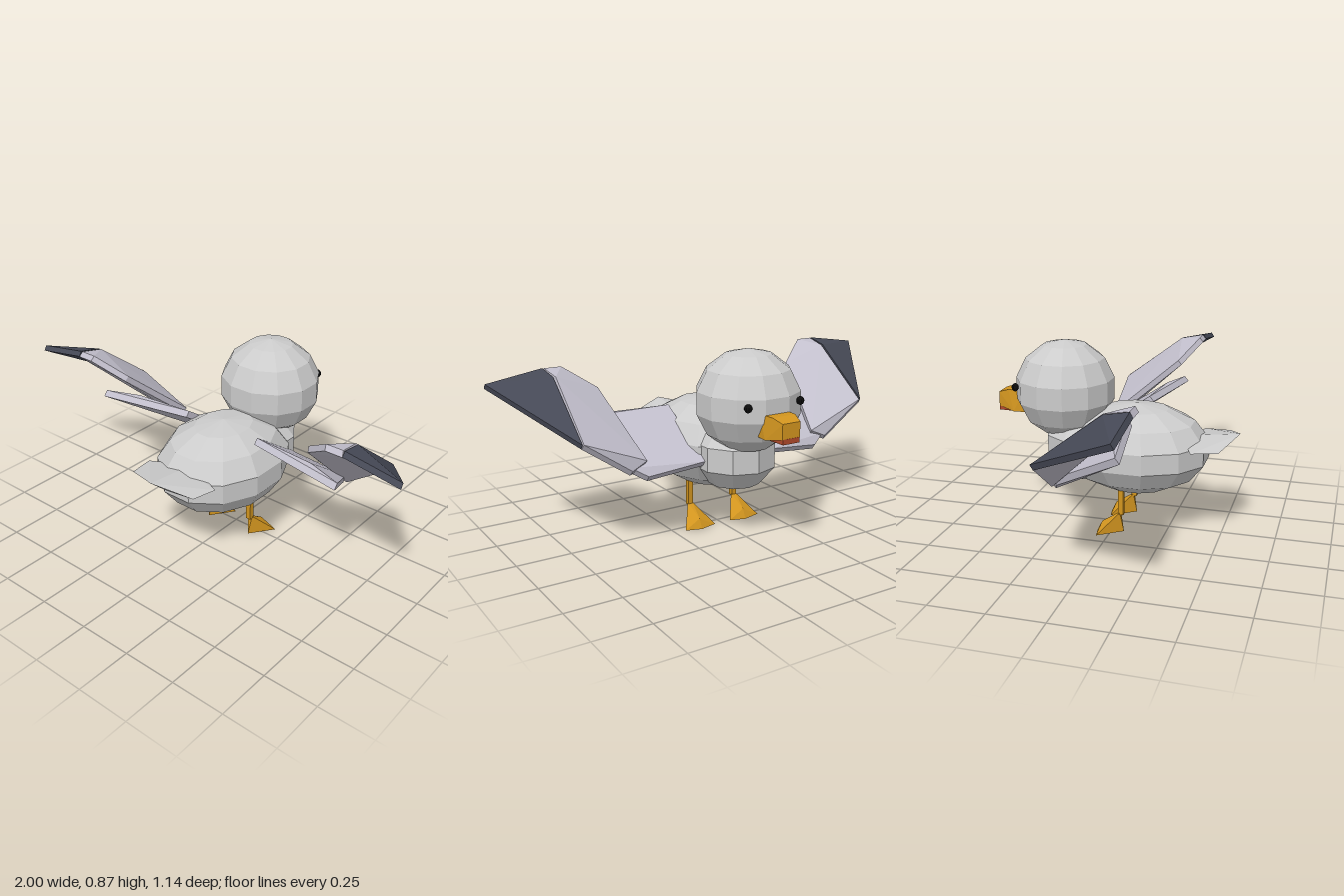
import * as THREE from 'three';
import { ConvexGeometry } from 'three/addons/geometries/ConvexGeometry.js';

const mat = (color) => new THREE.MeshStandardMaterial({ color, flatShading: true });
const grey = mat(0xcccccc);
const lilac = mat(0xc2bfcc);
const slate = mat(0x464956);
const orange = mat(0xd2951f);
const red = mat(0xb0482a);
const black = mat(0x0c0c0c);

export function createModel() {
  const model = new THREE.Group();

  const add = (name, geometry, material) => {
    const mesh = new THREE.Mesh(geometry, material);
    mesh.name = name;
    model.add(mesh);
    return mesh;
  };

  // Faceted ellipsoid, turned half a facet where asked
  const ball = (name, radii, centre, segments, rings, turn, material = grey) => {
    const g = new THREE.SphereGeometry(1, segments, rings);
    g.rotateY(turn).scale(...radii).translate(...centre);
    return add(name, g, material);
  };

  // Faceted solid around a few corners; side -1 mirrors it
  const solid = (name, points, material, side = 1) =>
    add(name, new ConvexGeometry(points.map(([x, y, z]) => new THREE.Vector3(x * side, y, z))), material);

  // Thin panel: each corner is doubled along the panel's thickness
  const panel = (name, points, thickness, material, side) => {
    const [dx, dy, dz] = thickness;
    const back = points.map(([x, y, z]) => [x + dx, y + dy, z + dz]);
    return solid(name, [...points, ...back], material, side);
  };

  const both = (points) => points.flatMap(([x, y, z]) => [[x, y, z], [-x, y, z]]);

  // Body, chest and head
  ball('body', [0.281, 0.209, 0.347], [0, 0.388, 0.09], 12, 7, Math.PI / 12);
  ball('chest', [0.2, 0.178, 0.208], [0, 0.385, -0.147], 10, 5, Math.PI / 2);
  ball('head', [0.24, 0.229, 0.234], [0, 0.645, -0.255], 12, 7, Math.PI / 12);

  // Beak
  solid('upperBeak', both([
    [0.065, 0.63, -0.44], [0.058, 0.63, -0.52], [0.045, 0.613, -0.572],
    [0.045, 0.545, -0.572], [0.075, 0.53, -0.49], [0.07, 0.53, -0.43],
  ]), orange);
  solid('lowerBeak', both([
    [0.042, 0.547, -0.573], [0.042, 0.524, -0.573], [0.06, 0.547, -0.46], [0.055, 0.526, -0.46],
  ]), red);

  // Tail
  solid('tail', [
    [0, 0.49, 0.57], [0, 0.402, 0.47], [0, 0.465, 0.36], [0, 0.425, 0.36],
    ...both([[0.175, 0.447, 0.5], [0.195, 0.44, 0.38], [0.12, 0.445, 0.35]]),
  ], grey);

  for (const side of [1, -1]) {
    const label = side > 0 ? 'left' : 'right';

    // Eye
    ball(label + 'Eye', [0.018, 0.019, 0.016], [0.134 * side, 0.665, -0.453], 10, 8, 0, black);

    // Inner wing, sloping up to the rear
    panel(label + 'InnerWing', [
      [0.18, 0.35, -0.17], [0.45, 0.322, -0.15], [0.52, 0.365, -0.12],
      [0.67, 0.54, 0.195], [0.5, 0.545, 0.14], [0.2, 0.55, 0.12],
    ], [0, 0.025, -0.02], lilac, side);

    // Outer wing, raised and cambered towards the fold
    panel(label + 'OuterWing', [
      [0.45, 0.39, -0.13], [0.525, 0.357, -0.14], [0.74, 0.507, -0.135],
      [0.73, 0.735, 0.16], [0.74, 0.755, 0.268], [0.66, 0.755, 0.268], [0.525, 0.66, 0.185],
    ], [-0.006, 0.022, -0.016], lilac, side);

    // Dark wing tip
    panel(label + 'WingTip', [
      [0.741, 0.508, -0.137], [0.735, 0.735, 0.16], [0.741, 0.756, 0.268], [1, 0.715, 0.268],
    ], [0, 0.022, -0.014], slate, side);

    // Leg
    const leg = new THREE.BoxGeometry(0.025, 0.14, 0.024);
    leg.translate(0.122 * side, 0.16, 0.049);
    add(label + 'Leg', leg, orange);

    // Webbed foot, narrow at the heel and wide at the toes
    solid(label + 'Foot', [
      [0.11, 0.1, 0.045], [0.134, 0.1, 0.045], [0.122, 0.005, 0.062],
      [0.042, 0.004, -0.05], [0.202, 0.004, -0.05],
      [0.122, 0.045, -0.043], [0.122, 0, -0.065],
    ], orange, side);
  }
  return model;
}
